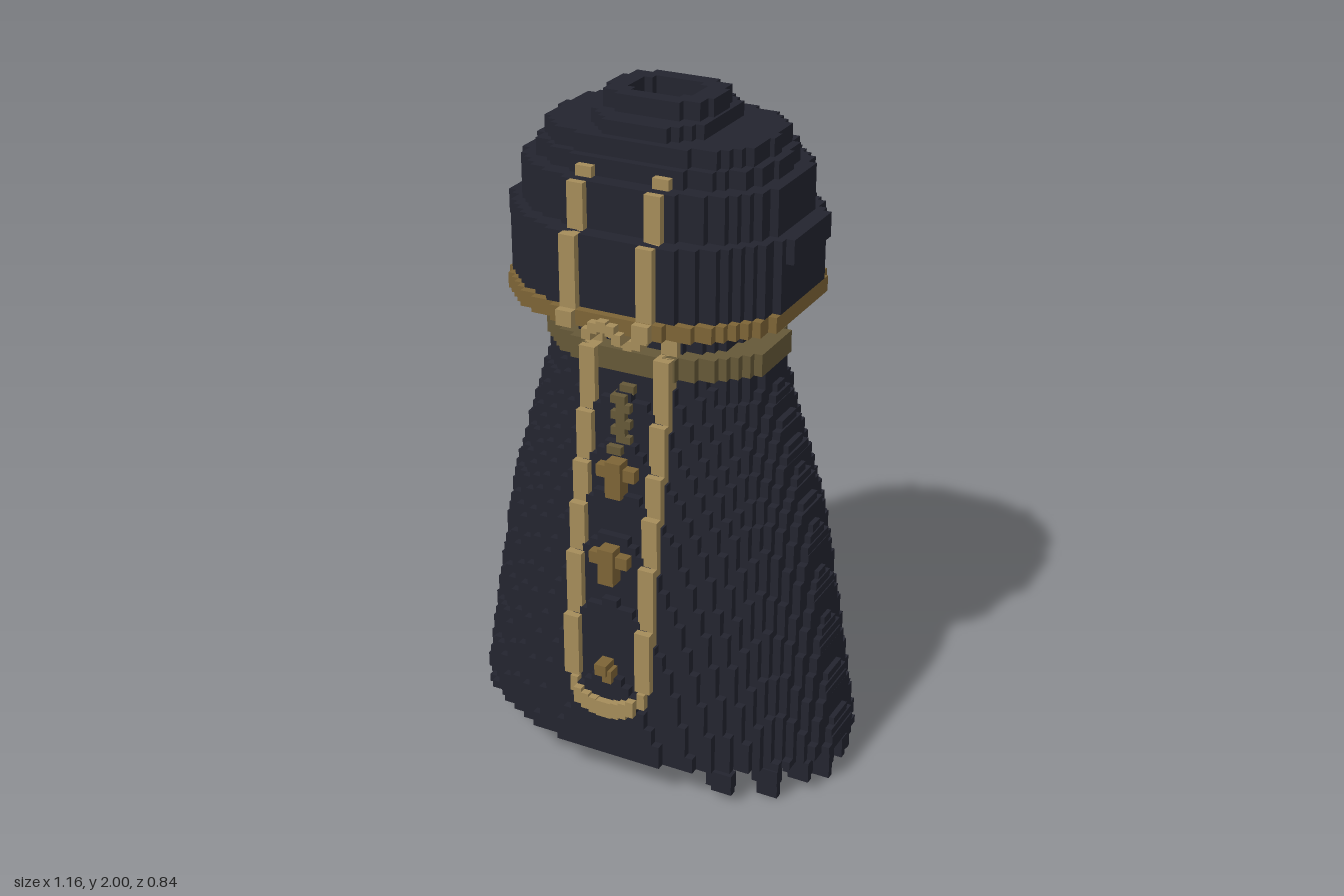
import * as THREE from 'three';
import { mergeGeometries } from 'three/addons/utils/BufferGeometryUtils.js';

const U = 0.024; // cell size of the blocky steps

const material = (name, color) => new THREE.MeshStandardMaterial({ name, color });
const lerp = THREE.MathUtils.lerp;

// Half width of the stepped oval in the row centred on z
function halfWidth(z, rx, rz, n) {
  const t = 1 - Math.pow(Math.min(1, Math.abs(z) / rz), n);
  return Math.max(1, Math.round(rx * Math.pow(t, 1 / n) / U)) * U;
}

// Stair-stepped oval outline
function outline(rx, rz, n) {
  const rows = Math.round(rz / U);
  const side = [];
  for (let i = -rows; i < rows; i++) {
    const w = Math.min(rx, halfWidth((i + 0.5) * U, rx, rz, n));
    const last = side[side.length - 1];
    if (last && Math.abs(last.x - w) < 1e-6) last.y = (i + 1) * U;
    else side.push(new THREE.Vector2(w, i * U), new THREE.Vector2(w, (i + 1) * U));
  }
  return [...side, ...side.map(p => new THREE.Vector2(-p.x, p.y)).reverse()];
}

// One flat slab of the stepped body, optionally hollow
function slab({ y0, y1, rx, rz, n = 2, hole }) {
  const shape = new THREE.Shape(outline(rx, rz, n));
  if (hole) shape.holes.push(new THREE.Path(outline(hole[0], hole[1], n).reverse()));
  const g = new THREE.ExtrudeGeometry(shape, { depth: y1 - y0, bevelEnabled: false });
  return g.rotateX(-Math.PI / 2).translate(0, y0, 0);
}

function box(x0, x1, y0, y1, z0, z1) {
  return new THREE.BoxGeometry(Math.abs(x1 - x0), y1 - y0, Math.abs(z1 - z0))
    .translate((x0 + x1) / 2, (y0 + y1) / 2, (z0 + z1) / 2);
}

// Skirt radii: height, half width, half depth
const KNOTS = [[0.1, 0.58, 0.39], [0.4, 0.53, 0.37], [0.78, 0.47, 0.325], [1.0, 0.405, 0.285], [1.26, 0.33, 0.24]];
function skirtLayer(y0, y1) {
  const y = THREE.MathUtils.clamp(y0, 0.1, 1.26);
  const k = Math.max(1, KNOTS.findIndex(p => p[0] >= y));
  const [a, b] = [KNOTS[k - 1], KNOTS[k]];
  const t = (y - a[0]) / (b[0] - a[0]);
  const rx = lerp(a[1], b[1], t), rz = lerp(a[2], b[2], t);
  return { y0, y1, rx, rz, hole: [rx - 0.055, rz - 0.055] };
}

const LAYERS = 48, STEP = 1.16 / LAYERS;
const skirt = Array.from({ length: LAYERS }, (_, i) => skirtLayer(0.1 + i * STEP, 0.1 + (i + 1) * STEP));
const belt = { y0: 1.26, y1: 1.325, rx: 0.345, rz: 0.25 };
const neck = { y0: 1.325, y1: 1.43, rx: 0.255, rz: 0.2, n: 2.4 };
const rim = { y0: 1.43, y1: 1.475, rx: 0.415, rz: 0.36, n: 2.6 };
const mantle = [
  { y0: 1.475, y1: 1.68, rx: 0.41, rz: 0.34, n: 2.6 },
  { y0: 1.61, y1: 1.68, rx: 0.44, rz: 0.2, n: 4 },
  { y0: 1.68, y1: 1.81, rx: 0.39, rz: 0.29, n: 2.6 },
  { y0: 1.81, y1: 1.86, rx: 0.35, rz: 0.24, n: 2.6 },
  { y0: 1.86, y1: 1.91, rx: 0.325, rz: 0.22, n: 2.6 },
  { y0: 1.91, y1: 1.95, rx: 0.18, rz: 0.2, n: 2.4, hole: [0.1, 0.075] },
  { y0: 1.95, y1: 2, rx: 0.16, rz: 0.125, n: 2.6, hole: [0.1, 0.075] },
];

// Depth of a slab's surface at a given x
function surface({ rx, rz, n = 2 }, x) {
  for (let i = Math.round(rz / U) - 1; i > 0; i--) {
    if (halfWidth((i + 0.5) * U, rx, rz, n) >= Math.abs(x)) return (i + 1) * U;
  }
  return U;
}
const skirtZ = (y, x) => surface(skirtLayer(y, y), x);

export function createModel() {
  const group = new THREE.Group();
  const cloth = material('dark cloth', 0x23242f);
  const gold = material('gold trim', 0xa58c5a);
  const oldGold = material('dark gold', 0x7d6436);
  const olive = material('olive gold', 0x655838);
  const red = material('dark red cloth', 0x5c2020);

  function add(name, mat, geometries) {
    const mesh = new THREE.Mesh(mergeGeometries(geometries.map(g => g.index ? g.toNonIndexed() : g)), mat);
    mesh.name = name;
    group.add(mesh);
  }

  // Main body
  add('skirt', cloth, skirt.map(slab));
  add('belt', olive, [slab(belt)]);
  add('neck', cloth, [slab(neck)]);
  add('mantleRim', oldGold, [slab(rim)]);
  add('mantle', cloth, mantle.map(slab));

  // Ragged fringe along the left half of the hem
  const fringe = [];
  for (let i = 0; i < 9; i++) {
    const z = 0.3 - i * 0.08;
    const x = 0.58 * Math.sqrt(1 - (z / 0.39) ** 2);
    const low = i % 2 ? 0 : 0.025;
    fringe.push(box(x - 0.08, x, 0.05, 0.1, z - 0.01, z + 0.025));
    fringe.push(box(x - 0.07, x - 0.005, low, 0.05, z - 0.01, z + 0.012));
  }
  add('hemFringe', cloth, fringe);

  // Long border with rounded end, on the front (s = 1) or the back (s = -1)
  function border(s, bottom, outer) {
    const parts = [], inner = 0.09, mid = (inner + outer) / 2;
    const lift = s > 0 ? 0.022 : 0.045;
    const runs = [...skirt.filter(l => l.y0 > bottom + 0.08), belt, neck, rim,
      mantle[0], mantle[2], ...(s > 0 ? [{ ...mantle[3], y1: 1.84 }] : [])];
    for (const l of runs) {
      const z = surface(l, mid), d = l.y0 < 1.26 ? lift : 0.022;
      for (const m of [-1, 1]) parts.push(box(m * inner, m * outer, l.y0, l.y1, s * (z - 0.04), s * (z + d)));
    }
    for (let i = -5; i < 5; i++) {
      const x = (i + 0.5) * U;
      const y = bottom + 0.13 - 0.13 * Math.sqrt(1 - (x / 0.145) ** 2);
      const z = skirtZ(y, x);
      parts.push(box(x - U / 2, x + U / 2, y, y + 0.05, s * (z - 0.04), s * (z + lift)));
    }
    return parts;
  }
  add('frontBorder', gold, border(1, 0.24, 0.138));
  add('backBorder', gold, border(-1, 0.33, 0.125));

  // Crosses and small gem mounts down both panels
  function ornaments(s, gemY) {
    const parts = [], d = s > 0 ? 0.03 : 0.05;
    for (const y of [0.98, 0.73]) {
      const z = skirtZ(y, 0);
      parts.push(box(-0.024, 0.024, y - 0.065, y + 0.045, s * (z - 0.03), s * (z + d + 0.015)));
      parts.push(box(-0.06, 0.06, y - 0.012, y + 0.024, s * (z - 0.03), s * (z + d)));
    }
    const z = skirtZ(gemY, 0);
    parts.push(box(-0.024, 0.012, gemY - 0.005, gemY + 0.03, s * (z - 0.03), s * (z + d + 0.02)));
    parts.push(box(-0.005, 0.024, gemY - 0.03, gemY + 0.01, s * (z - 0.03), s * (z + d + 0.01)));
    return parts;
  }
  add('frontOrnaments', oldGold, ornaments(1, 0.385));
  add('backOrnaments', oldGold, ornaments(-1, 0.46));

  // Hanging chain on the front
  const chain = [];
  for (let i = 0; i < 8; i++) {
    const y = 1.04 + i * U, x = i % 2 ? 0.008 : -0.008;
    chain.push(box(x - 0.022, x + 0.022, y, y + U, 0.2, skirtZ(y, 0) + 0.02));
  }
  add('frontChain', olive, chain);

  // Blocky clasp ring at the throat
  const ring = [];
  for (let i = 0; i < 12; i++) {
    const a = i * Math.PI / 6;
    const x = 0.052 * Math.cos(a), y = 1.395 + 0.056 * Math.sin(a);
    ring.push(box(x - 0.014, x + 0.014, y - 0.015, y + 0.015, 0.18, y > 1.42 ? 0.385 : 0.24));
  }
  add('claspRing', gold, ring);

  // Back tails: cloth panel, red lining and gold edges that widen downwards
  const spread = y => lerp(0.28, 0.125, THREE.MathUtils.clamp((y - 0.08) / 1.1, 0, 1));
  const columns = [
    [-0.28, -0.19, 0.08, 0.85, red], [-0.19, -0.1, 0.08, 0.8, red],
    [-0.1, -0.02, 0.02, 1.24, cloth], [-0.02, 0.11, 0, 0.36, red], [-0.02, 0.1, 0.36, 1.24, cloth],
    [0.11, 0.2, 0.03, 0.4, cloth], [0.11, 0.2, 0.4, 0.8, red], [0.2, 0.28, 0.05, 0.85, red],
  ];
  const tails = new Map([[red, []], [cloth, []]]);
  for (const [x0, x1, bottom, top, mat] of columns) {
    for (let y = bottom; y < top; y += U) {
      const w = spread(y), a = Math.max(x0, -w), b = Math.min(x1, w);
      if (b - a < 0.005) continue;
      const z = skirtZ(y, (a + b) / 2), lift = bottom === 0 ? 0.044 : 0.026;
      tails.get(mat).push(box(a, b, y, Math.min(y + U, top), -(z - 0.03), -(z + lift)));
    }
  }
  add('redTails', red, tails.get(red));
  add('darkTails', cloth, tails.get(cloth));

  const edges = [];
  for (const l of skirt.filter(k => k.y0 > 0.16 && k.y0 < 1.22)) {
    const w = spread(l.y0), z = surface(l, w);
    for (const m of [-1, 1]) edges.push(box(m * (w - 0.015), m * (w + 0.018), l.y0, l.y1, -(z - 0.04), -(z + 0.03)));
  }
  add('tailEdges', gold, edges);

  // Small studs behind the shoulders
  add('shoulderStuds', gold, [-1, 1].map(m => box(m * 0.21, m * 0.234, 1.81, 1.86, -0.2, -0.246)));

  return group;
}
